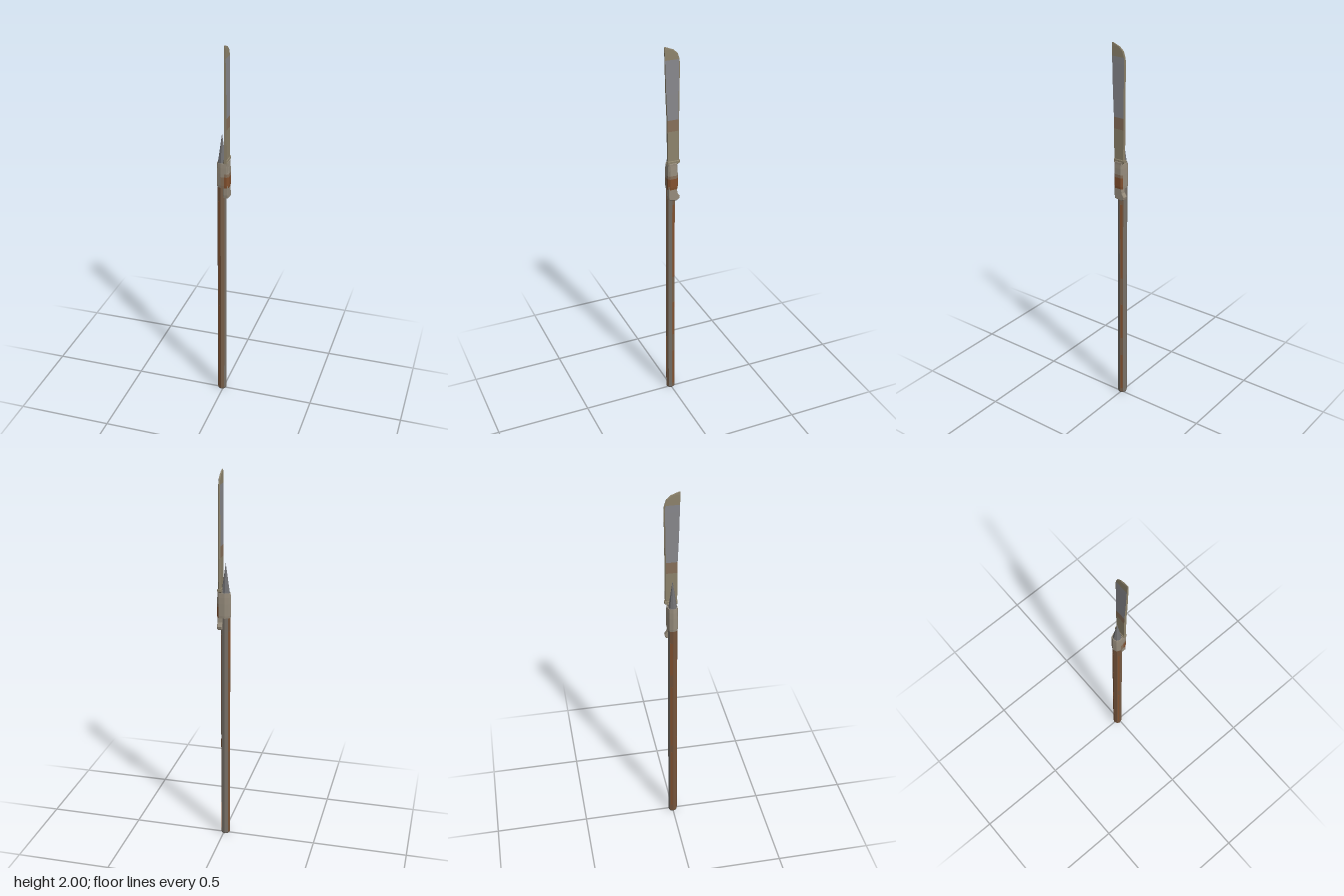
import * as THREE from 'three';

const COLORS = {
  steel: 0x88888c, tarnish: 0x8d836c, stain: 0x87705a, darkIron: 0x727274, weathered: 0x777067,
  wornWood: 0x785f49, brownWood: 0x75543b, rust: 0x83512f, wrap: 0x968c7c,
};

// Flat-shaded skin over rings of [x, y, z] points (counterclockwise from above);
// pick(row, side) names each panel's material.
function loft(name, rings, mats, pick) {
  const names = Object.keys(mats), pos = [], geo = new THREE.BufferGeometry();
  const panel = (material, ...pts) => {
    geo.addGroup(pos.length / 3, pts.length, names.indexOf(material));
    pts.forEach(p => pos.push(...p));
  };
  const n = rings[0].length, last = rings.length - 1;
  for (let r = 0; r < last; r++) {
    for (let j = 0; j < n; j++) {
      const k = (j + 1) % n;
      const [a, b, c, d] = [rings[r][j], rings[r][k], rings[r + 1][k], rings[r + 1][j]];
      panel(pick(r, j), a, b, c, a, c, d);
    }
  }
  for (let j = 1; j < n - 1; j++) {
    panel(pick(0, n - 1), rings[0][0], rings[0][j + 1], rings[0][j]);
    panel(pick(last - 1, n - 1), rings[last][0], rings[last][j], rings[last][j + 1]);
  }
  geo.setAttribute('position', new THREE.Float32BufferAttribute(pos, 3));
  geo.computeVertexNormals();
  const mesh = new THREE.Mesh(geo, names.map(m => mats[m]));
  mesh.name = name;
  return mesh;
}

// Side profile given as [z, y] points, given a width along x
function plate(name, points, x0, x1, material) {
  const shape = new THREE.Shape(points.map(p => new THREE.Vector2(...p)));
  const bevel = 0.003;
  const geo = new THREE.ExtrudeGeometry(shape, {
    depth: x1 - x0 - 2 * bevel, bevelEnabled: true, bevelSize: bevel,
    bevelThickness: bevel, bevelOffset: -bevel, bevelSegments: 1,
  });
  geo.rotateY(-Math.PI / 2).translate(x1 - bevel, 0, 0);
  const mesh = new THREE.Mesh(geo, material);
  mesh.name = name;
  return mesh;
}

export function createModel() {
  const group = new THREE.Group();
  group.name = 'bladedSpear';
  const mats = {};
  for (const [name, color] of Object.entries(COLORS)) {
    mats[name] = new THREE.MeshStandardMaterial({ color });
    mats[name].name = name;
  }
  const poleX = -0.008, poleR = 0.0245;

  // Octagonal pole, its sides worn to different shades
  const poleRings = [[0, 0.021], [0.008, poleR], [1.382, poleR]].map(([y, r]) =>
    Array.from({ length: 8 }, (_, i) => {
      const a = i * Math.PI / 4;
      return [poleX + r * Math.sin(a), y, r * Math.cos(a)];
    }));
  const sideShades = ['wornWood', 'weathered', 'wornWood', 'weathered',
    'weathered', 'brownWood', 'brownWood', 'brownWood'];
  group.add(loft('pole', poleRings, mats,
    (row, side) => (row > 0 ? sideShades[side] : 'weathered')));

  // Thin rust streaks: [pole side, centre y, length, width]
  [[2, 0.945, 0.43, 0.013], [2, 0.465, 0.21, 0.013], [2, 0.14, 0.22, 0.013],
    [5, 1.08, 0.2, 0.016], [5, 0.7, 0.4, 0.011], [5, 0.25, 0.4, 0.011],
    [7, 0.9, 0.55, 0.008], [7, 0.3, 0.5, 0.008]].forEach(([side, y, length, width]) => {
    const streak = new THREE.Mesh(new THREE.BoxGeometry(width, length, 0.001), mats.rust);
    const a = (side + 0.5) * Math.PI / 4, d = poleR * Math.cos(Math.PI / 8);
    streak.position.set(poleX + d * Math.sin(a), y, d * Math.cos(a));
    streak.rotation.y = a;
    streak.name = 'rustStreak';
    group.add(streak);
  });

  // Spike on top of the pole
  const spikeGeo = new THREE.ConeGeometry(0.0225, 0.16, 8).toNonIndexed();
  spikeGeo.computeVertexNormals();
  const spike = new THREE.Mesh(spikeGeo, mats.darkIron);
  spike.position.set(poleX, 1.46, 0);
  spike.name = 'spike';
  group.add(spike);

  // Binding that ties the handle to the pole, rusty at the lower handle side
  const outline = [[0.024, 0.027], [0.033, 0.018], [0.033, -0.018], [0.024, -0.027],
    [-0.008, -0.028], [-0.028, -0.02], [-0.036, 0], [-0.028, 0.02], [-0.008, 0.028],
    [0.01, 0.0275]];
  const wrapRows = [[1.255, 0.96], [1.268, 1], [1.315, 1], [1.332, 1], [1.365, 0.97], [1.386, 0.92]];
  const wrapRings = wrapRows.map(([y, s]) =>
    outline.map(([x, z]) => [-0.002 + (x + 0.002) * s, y, z * s]));
  group.add(loft('binding', wrapRings, mats, (row, side) => {
    const rusty = side <= 2 || side === 9;
    if (row < 2 && rusty) return 'rust';
    return (row === 2 && rusty) || (row < 2 && side === 8) ? 'stain' : 'wrap';
  }));

  // Handle with hooked butt, and the collar below the blade
  group.add(plate('handle', [[0.024, 1.4], [0.024, 1.215], [0.021, 1.197], [-0.018, 1.19],
    [-0.034, 1.198], [-0.037, 1.212], [-0.024, 1.232], [-0.021, 1.26], [-0.021, 1.4]],
  0.004, 0.03, mats.wrap));
  group.add(plate('collar', [[0.029, 1.412], [0.029, 1.39], [-0.024, 1.39],
    [-0.037, 1.398], [-0.037, 1.412]], 0.008, 0.028, mats.tarnish));

  // Single-edged blade: [y, spine z, edge z, half thickness]
  const bladeX = 0.018;
  const bladeRows = [[1.4, 0.027, -0.034, 0.007], [1.57, 0.028, -0.035, 0.0065],
    [1.63, 0.029, -0.035, 0.0065], [1.76, 0.035, -0.036, 0.006], [1.9, 0.039, -0.038, 0.005],
    [1.935, 0.04, -0.036, 0.0045], [1.965, 0.041, -0.026, 0.004], [1.985, 0.042, -0.004, 0.0035],
    [2, 0.042, 0.036, 0.002]];
  const bladeRings = bladeRows.map(([y, spine, edge, t]) => {
    const bevel = edge + Math.min(0.006, (spine - edge) * 0.5);
    return [[bladeX - t, y, spine], [bladeX + t, y, spine], [bladeX + t, y, bevel],
      [bladeX + 0.0015, y, edge], [bladeX - 0.0015, y, edge], [bladeX - t, y, bevel]];
  });
  group.add(loft('blade', bladeRings, mats, (row, side) => {
    const flat = side === 1 || side === 5;
    if (flat && row === 1) return 'stain';
    return flat && row >= 2 && row <= 4 ? 'steel' : 'tarnish';
  }));

  return group;
}
